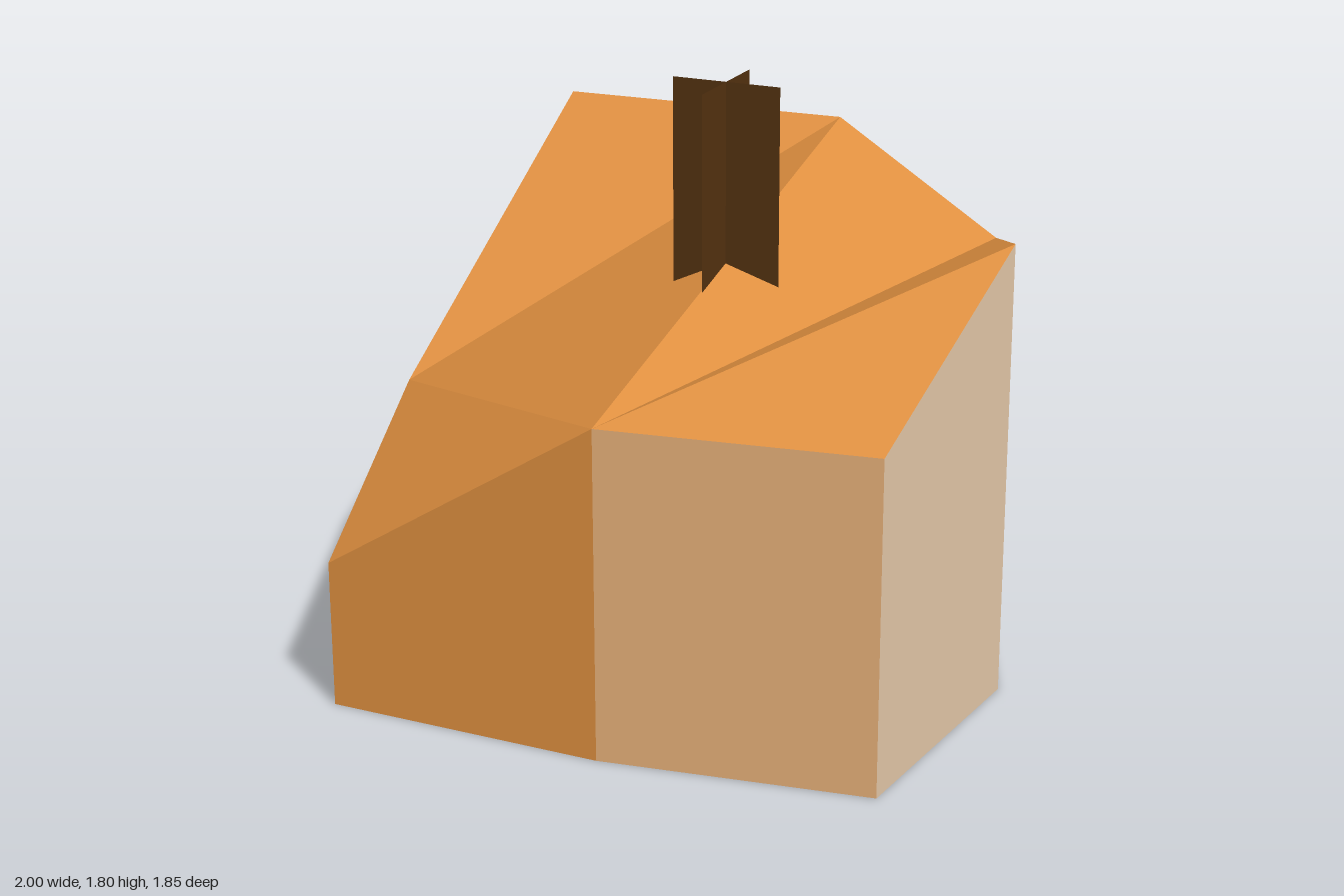
import * as THREE from 'three';

// Rim corners of the faceted body, clockwise from above: [x, y, z]
const RIM = [
  [-0.86, 1.475, -0.88], [0.095, 1.475, -0.925], [0.73, 1.215, -0.655], [1, 1.41, 0],
  [0.91, 1.02, 0.8], [0.095, 1.02, 0.92], [-0.78, 0.46, 0.915], [-1, 0.715, 0.04],
].map((p) => new THREE.Vector3(...p));

// Faceted mesh from a flat list of triangle corners
function facets(name, points, material) {
  const geometry = new THREE.BufferGeometry().setFromPoints(points);
  geometry.computeVertexNormals();
  const mesh = new THREE.Mesh(geometry, material);
  mesh.name = name;
  return mesh;
}

export function createModel() {
  const orange = new THREE.MeshStandardMaterial({ name: 'orange rind', color: 0xe09040 });
  const tan = new THREE.MeshStandardMaterial({ name: 'tan flesh', color: 0xe4ae78 });
  const cream = new THREE.MeshStandardMaterial({ name: 'cream flesh', color: 0xe4c8a8 });
  const brown = new THREE.MeshStandardMaterial({ name: 'dark brown stem', color: 0x543210, side: THREE.DoubleSide });

  const model = new THREE.Group();
  model.name = 'cutChunk';
  const floor = RIM.map((p) => new THREE.Vector3(p.x, 0, p.z));

  // Sloping top, triangulated around the ridge from corner 1 to corner 5
  const topFaces = [[0, 7, 1], [1, 7, 5], [7, 6, 5], [1, 5, 2], [2, 5, 3], [3, 5, 4]];
  model.add(facets('top', topFaces.flat().map((i) => RIM[i]), orange));

  // Upright walls, one per rim edge
  const wallColours = [tan, tan, cream, cream, tan, orange, orange, orange];
  wallColours.forEach((material, i) => {
    const j = (i + 1) % RIM.length;
    model.add(facets(`wall${i + 1}`, [floor[j], floor[i], RIM[i], floor[j], RIM[i], RIM[j]], material));
  });

  // Underside
  const base = [];
  for (let i = 1; i < floor.length - 1; i++) base.push(floor[0], floor[i], floor[i + 1]);
  model.add(facets('underside', base, orange));

  // Stem of two crossed flat cards
  const stem = new THREE.Group();
  stem.name = 'stem';
  for (const turn of [0, Math.PI / 2]) {
    const card = new THREE.Mesh(new THREE.PlaneGeometry(0.345, 0.68), brown);
    card.name = 'stemCard';
    card.rotation.y = turn;
    stem.add(card);
  }
  stem.position.set(0.1, 1.46, 0.017);
  model.add(stem);

  return model;
}
